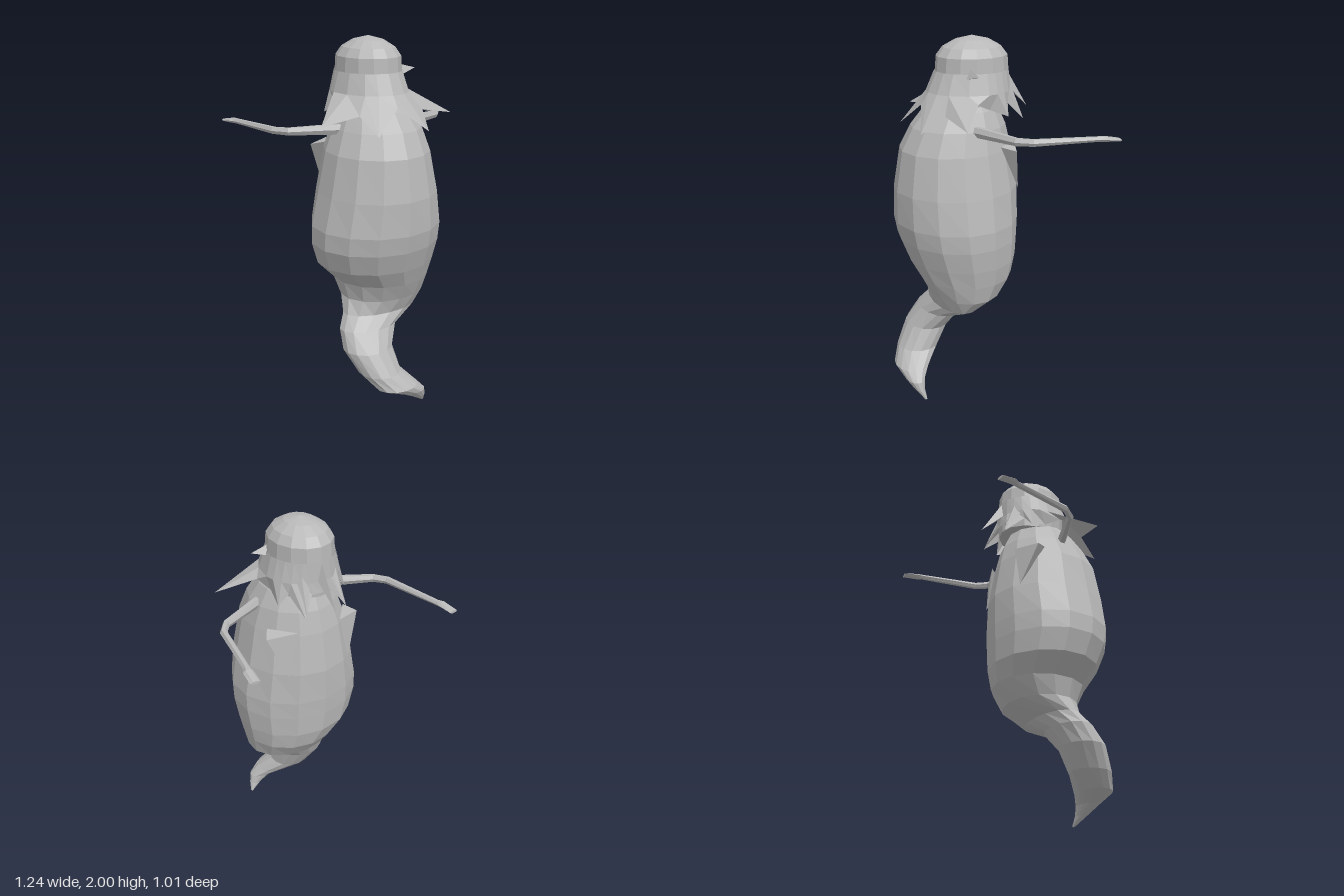
import * as THREE from 'three';

const grey = new THREE.MeshStandardMaterial({ color: 0xb8b8b8, flatShading: true, side: THREE.DoubleSide });
const V = (x, y, z) => new THREE.Vector3(x, y, z);

// Skin a list of equal closed rings, optionally capping both ends
function loft(rings, capped = true) {
  const n = rings[0].length, pos = [], idx = [];
  rings.forEach(r => r.forEach(p => pos.push(p.x, p.y, p.z)));
  for (let i = 0; i < rings.length - 1; i++) {
    for (let j = 0; j < n; j++) {
      const a = i * n + j, b = i * n + (j + 1) % n;
      idx.push(a, b, a + n, b, b + n, a + n);
    }
  }
  if (capped) {
    const top = (rings.length - 1) * n;
    for (let j = 1; j < n - 1; j++) idx.push(0, j + 1, j, top, top + j, top + j + 1);
  }
  const g = new THREE.BufferGeometry();
  g.setAttribute('position', new THREE.Float32BufferAttribute(pos, 3));
  g.setIndex(idx);
  g.computeVertexNormals();
  return g;
}

// Horizontal ellipse from its x and z extents
function ring(y, x0, x1, z0, z1, n) {
  return Array.from({ length: n }, (_, j) => {
    const a = j / n * Math.PI * 2;
    return V((x0 + x1) / 2 + Math.sin(a) * (x1 - x0) / 2, y, (z0 + z1) / 2 + Math.cos(a) * (z1 - z0) / 2);
  });
}

// Spike with a triangular base
function spike(a, b, c, tip) {
  return loft([[a, b, c], [tip, tip, tip]]);
}

export function createModel() {
  const model = new THREE.Group();
  const add = (name, geometry, parent = model) => {
    const m = new THREE.Mesh(geometry, grey);
    m.name = name;
    parent.add(m);
    return m;
  };

  // Rounded body narrowing to a curling tail: y, x range, z range
  const sections = [
    [0, 0.135, 0.15, 0.385, 0.4],
    [0.05, 0.06, 0.142, 0.385, 0.44],
    [0.1, -0.03, 0.13, 0.37, 0.475],
    [0.15, -0.16, 0.085, 0.31, 0.5],
    [0.23, -0.225, 0.01, 0.22, 0.455],
    [0.35, -0.28, 0, 0.145, 0.385],
    [0.45, -0.27, 0.07, 0.095, 0.315],
    [0.52, -0.225, 0.22, 0.05, 0.275],
    [0.6, -0.2, 0.285, -0.08, 0.305],
    [0.7, -0.23, 0.31, -0.155, 0.355],
    [0.8, -0.33, 0.33, -0.19, 0.405],
    [0.92, -0.37, 0.345, -0.2, 0.45],
    [1.02, -0.37, 0.345, -0.205, 0.47],
    [1.2, -0.33, 0.315, -0.205, 0.47],
    [1.42, -0.285, 0.27, -0.17, 0.435],
    [1.54, -0.235, 0.235, -0.14, 0.375],
    [1.63, -0.19, 0.19, -0.1, 0.3],
    [1.7, -0.12, 0.12, -0.03, 0.2],
  ];
  add('bodyAndTail', loft(sections.map(s => ring(...s, 14))));

  // Domed head
  const dome = [[1.63, 0.165], [1.82, 0.17], [1.9, 0.165], [1.945, 0.135], [1.98, 0.08], [2, 0.004]];
  add('head', loft(dome.map(([y, r]) => ring(y, -r, r, 0.035 - r * 1.17, 0.035 + r * 1.17, 14))));

  // Jagged collar: angle, then hem point, from front to back
  const hem = [
    [0, 0, 1.66, 0.325], [0.38, 0.15, 1.54, 0.39], [0.7, 0.19, 1.63, 0.27],
    [1.15, 0.395, 1.59, 0.24], [1.6, 0.22, 1.68, 0.1], [1.85, 0.185, 1.64, 0.02],
    [2.1, 0.205, 1.6, -0.08], [2.35, 0.155, 1.66, -0.1], [2.6, 0.125, 1.56, -0.21],
    [2.85, 0.06, 1.66, -0.17], [Math.PI, 0, 1.66, -0.175],
  ];
  const mirrored = hem.slice(1, -1).reverse().map(([a, x, y, z]) => [-a, -x, y, z]);
  const around = [...hem, ...mirrored];
  const band = (y, rx, front, back) => around.map(([a]) =>
    V(Math.sin(a) * rx, y, 0.035 + Math.cos(a) * (Math.cos(a) > 0 ? front : back)));
  add('collar', loft([
    around.map(([, x, y, z]) => V(x, y, z)),
    band(1.72, 0.205, 0.25, 0.205),
    band(1.825, 0.175, 0.202, 0.2),
  ], false));

  // Thin spike at the back of the head and small horn on its left side
  add('backSpike', spike(V(-0.025, 1.74, -0.15), V(0.025, 1.74, -0.15), V(0, 1.84, -0.15), V(0, 1.6, -0.295)));
  add('sideHorn', spike(V(0.15, 1.8, 0.14), V(0.15, 1.8, 0.08), V(0.15, 1.85, 0.11), V(0.245, 1.825, 0.11)));

  // Arms: path point, half width, half height
  const path = [
    [V(0.15, 1.54, 0.14), 0.026, 0.03], [V(0.25, 1.54, 0.095), 0.024, 0.03],
    [V(0.46, 1.535, 0.005), 0.02, 0.022], [V(0.51, 1.535, -0.06), 0.02, 0.02],
    [V(0.575, 1.532, -0.4), 0.018, 0.014], [V(0.585, 1.532, -0.43), 0.027, 0.014],
    [V(0.595, 1.522, -0.51), 0.026, 0.008],
  ];
  const armRings = path.map(([p, w, h], i) => {
    const before = path[Math.max(i - 1, 0)][0], after = path[Math.min(i + 1, path.length - 1)][0];
    const side = V(0, 1, 0).cross(after.clone().sub(before)).normalize();
    return Array.from({ length: 6 }, (_, j) => {
      const a = j / 6 * Math.PI * 2;
      return p.clone().addScaledVector(side, Math.cos(a) * w).add(V(0, Math.sin(a) * h, 0));
    });
  });
  for (const s of [1, -1]) {
    const half = new THREE.Group();
    half.name = s > 0 ? 'leftSide' : 'rightSide';
    half.scale.x = s;
    model.add(half);
    add('arm', loft(armRings), half);
    // Pointed fold on the back of the shoulder
    const tip = V(0.285, 1.43, -0.09);
    add('shoulderFold', spike(V(0.24, 1.45, -0.02), V(0.19, 1.2, -0.15), V(0.13, 1.45, -0.15), tip), half);
    // Loose hair lock
    add('hairLock', spike(V(0.1, 1.78, -0.13), V(0.06, 1.72, -0.15), V(0.14, 1.72, -0.1), V(0.115, 1.57, -0.21)), half);
  }
  return model;
}
